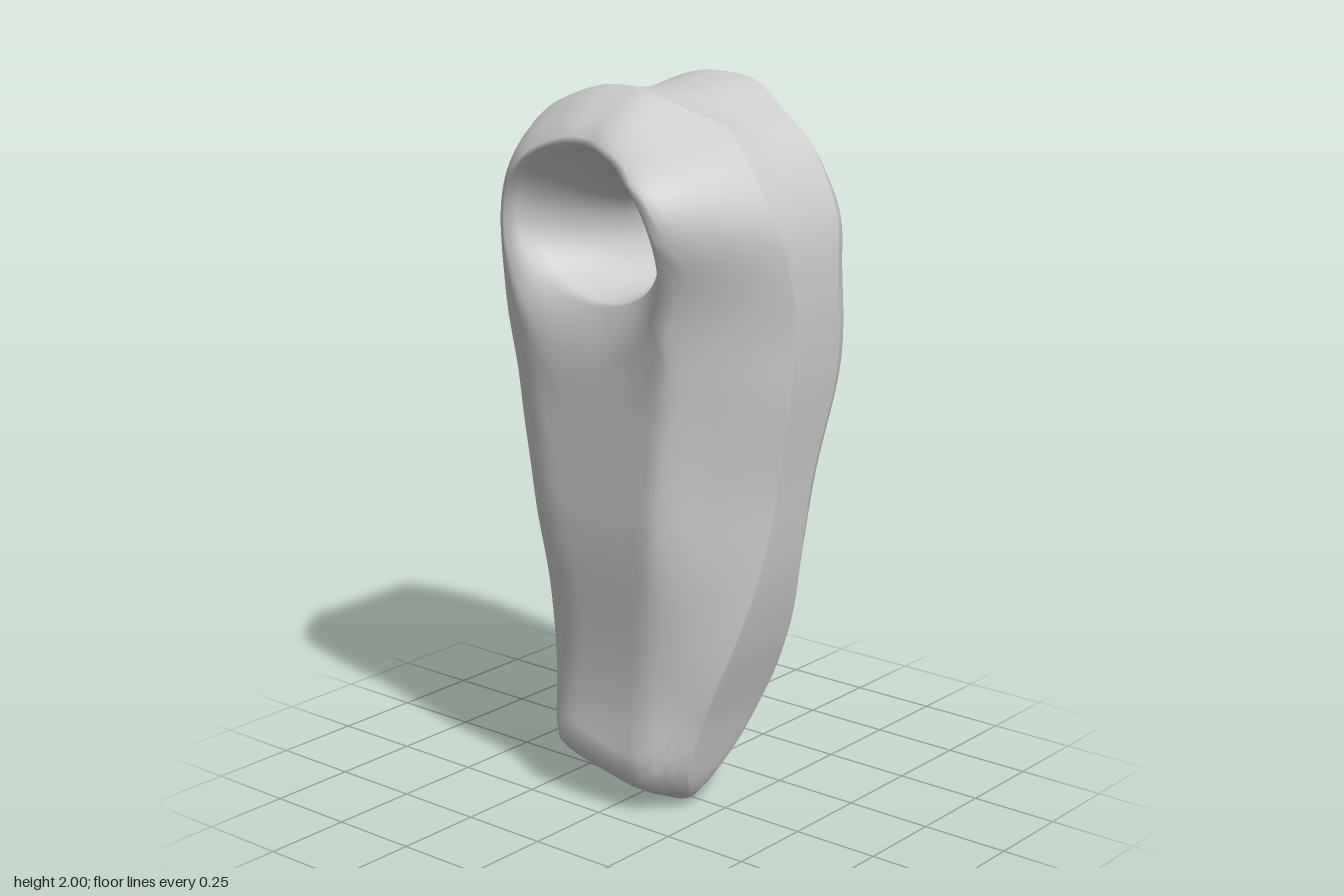
import * as THREE from 'three';

const N = 112;        // columns around the hole
const FACE = 16;      // steps from hole rim to outer edge
const FLARE = 6;      // steps from throat to hole rim
const WALL = 5;       // steps across the side wall

// Outer outline, clockwise from the top
const OUTLINE = [
  [0, 2], [0.09, 1.99], [0.18, 1.95], [0.29, 1.895], [0.37, 1.82], [0.445, 1.68], [0.465, 1.5],
  [0.455, 1.27], [0.42, 1.0], [0.38, 0.7], [0.33, 0.5], [0.25, 0.27], [0.19, 0.07], [0.16, 0.025],
  [0.07, 0.003], [-0.02, 0.025], [-0.23, 0.095], [-0.28, 0.17], [-0.31, 0.35], [-0.345, 0.6],
  [-0.4, 0.9], [-0.44, 1.13], [-0.468, 1.43], [-0.445, 1.66], [-0.38, 1.82], [-0.3, 1.91],
  [-0.19, 1.965], [-0.09, 1.995],
];

// Depth of the front and back faces by height: [y, z]
const FRONT = [[0, 0.15], [0.06, 0.19], [0.15, 0.225], [0.23, 0.2], [0.4, 0.2], [0.6, 0.22], [0.8, 0.245],
  [1.2, 0.24], [1.4, 0.265], [1.6, 0.28], [1.8, 0.295], [2, 0.3]];
const BACK = [[0, -0.02], [0.1, -0.12], [0.2, -0.21], [0.35, -0.265], [0.7, -0.265], [0.8, -0.285],
  [1.0, -0.325], [1.2, -0.365], [1.3, -0.37], [1.5, -0.345], [1.65, -0.355], [1.75, -0.345], [1.9, -0.355], [2, -0.35]];

const { lerp, clamp, smoothstep: smooth } = THREE.MathUtils;

function lookup(table, y) {
  for (let i = 1; i < table.length; i++) {
    const [y0, z0] = table[i - 1], [y1, z1] = table[i];
    if (y <= y1) return lerp(z0, z1, Math.max(0, (y - y0) / (y1 - y0)));
  }
  return table[table.length - 1][1];
}

// Average over nearby heights, to soften the profile
const profile = (table, y) => (lookup(table, y - 0.05) + 2 * lookup(table, y) + lookup(table, y + 0.05)) / 4;

const rim = new THREE.CatmullRomCurve3(
  OUTLINE.map(([x, y]) => new THREE.Vector3(x, y, 0)), true, 'centripetal',
).getSpacedPoints(N).slice(0, N);

// Distance from a point to the outer outline
function edgeDistance(x, y) {
  let best = Infinity;
  for (let i = 0; i < N; i++) {
    const a = rim[i], b = rim[(i + 1) % N];
    const dx = b.x - a.x, dy = b.y - a.y;
    const t = clamp(((x - a.x) * dx + (y - a.y) * dy) / (dx * dx + dy * dy), 0, 1);
    best = Math.min(best, Math.hypot(x - a.x - t * dx, y - a.y - t * dy));
  }
  return best;
}

const rounding = (e, width, power) => Math.pow(Math.max(0, 1 - e / width), power);

// Front face: swollen upper left shoulder, broad bevels at mid height, tight edges at the foot
function frontZ(x, y) {
  const middle = smooth(y, 0.25, 0.95);
  const upper = smooth(y, 1.15, 1.75);
  const left = smooth(x, 0.05, 0.3);
  const swell = 0.34 * Math.max(0, x) * smooth(y, 1.3, 1.85);
  const drop = lerp(lerp(0.13, 0.19, middle), lerp(lerp(0.09, 0.25, middle), 0.35, upper), left);
  const width = lerp(lerp(0.1, 0.23, smooth(y, 0.05, 0.6)), lerp(0.16, 0.12, left), smooth(y, 1.4, 1.8));
  const power = lerp(1.8, 1.2, left * middle);
  return profile(FRONT, y) + swell - drop * rounding(edgeDistance(x, y), width, power);
}

// Back face, with a broader edge up the left side
function backZ(x, y) {
  const left = smooth(x, 0.1, 0.3) * smooth(y, 0.5, 1);
  const drop = lerp(0.09, 0.16, left) - 0.03 * smooth(y, 1.5, 1.95);
  const z = profile(BACK, y) + drop * rounding(edgeDistance(x, y), lerp(0.11, 0.14, left), 1.8);
  return Math.min(z, frontZ(x, y) - 0.02);
}

const ellipse = (cx, cy, rx, ry, a) => [cx + rx * Math.sin(a), cy + ry * Math.cos(a)];

// One closed cross-section: throat, front flare, front face, side, back face, back flare
function section(k) {
  const o = rim[k];
  let ray = Math.atan2(o.x + 0.01, o.y - 1.6);
  if (ray < -0.05) ray += Math.PI * 2;
  const a = (ray + (k / N) * Math.PI * 2) / 2;
  const throat = ellipse(-0.01, 1.585, 0.14, 0.135, a);
  const mid = -0.03;

  const side = (mouth, depth, sign) => {
    const pts = [];
    const lip = depth(...mouth) - sign * 0.04;
    for (let j = 1; j <= FLARE; j++) {
      const q = j / FLARE, s = Math.pow(q, 1.6);
      pts.push([lerp(throat[0], mouth[0], s), lerp(throat[1], mouth[1], s), lerp(mid, lip, q)]);
    }
    for (let j = 1; j <= FACE; j++) {
      const t = 1 - Math.pow(1 - j / FACE, 1.8);
      const x = lerp(mouth[0], o.x, t), y = lerp(mouth[1], o.y, t);
      pts.push([x, y, depth(x, y)]);
    }
    return pts;
  };

  const front = side(ellipse(-0.02, 1.64, 0.27, 0.21, a), frontZ, 1);
  const back = side(ellipse(-0.005, 1.61, 0.225, 0.2, a), backZ, -1).reverse();

  // Side wall, slightly hollow along the top
  const f = front[front.length - 1], b = back[0];
  const wall = [];
  for (let j = 1; j < WALL; j++) {
    const t = j / WALL;
    const hollow = 0.025 * smooth(o.y, 1.75, 1.95) * Math.sin(Math.PI * t);
    wall.push([o.x, o.y - hollow, lerp(f[2], b[2], t)]);
  }
  return [[...throat, mid], ...front, ...wall, ...back];
}

export function createModel() {
  const group = new THREE.Group();
  group.name = 'piercedStone';

  // Join the cross-sections into a closed ring around the hole
  const sections = Array.from({ length: N }, (_, k) => section(k));
  const M = sections[0].length;
  const index = [];
  for (let k = 0; k < N; k++) {
    for (let j = 0; j < M; j++) {
      const k1 = (k + 1) % N, j1 = (j + 1) % M;
      const a = k * M + j, b = k1 * M + j, c = k1 * M + j1, d = k * M + j1;
      index.push(a, b, c, a, c, d);
    }
  }
  const geometry = new THREE.BufferGeometry();
  geometry.setAttribute('position', new THREE.Float32BufferAttribute(sections.flat(2), 3));
  geometry.setIndex(index);
  geometry.computeVertexNormals();

  const body = new THREE.Mesh(geometry, new THREE.MeshStandardMaterial({ color: 0xcccccc }));
  body.name = 'stoneBody';
  group.add(body);
  return group;
}
